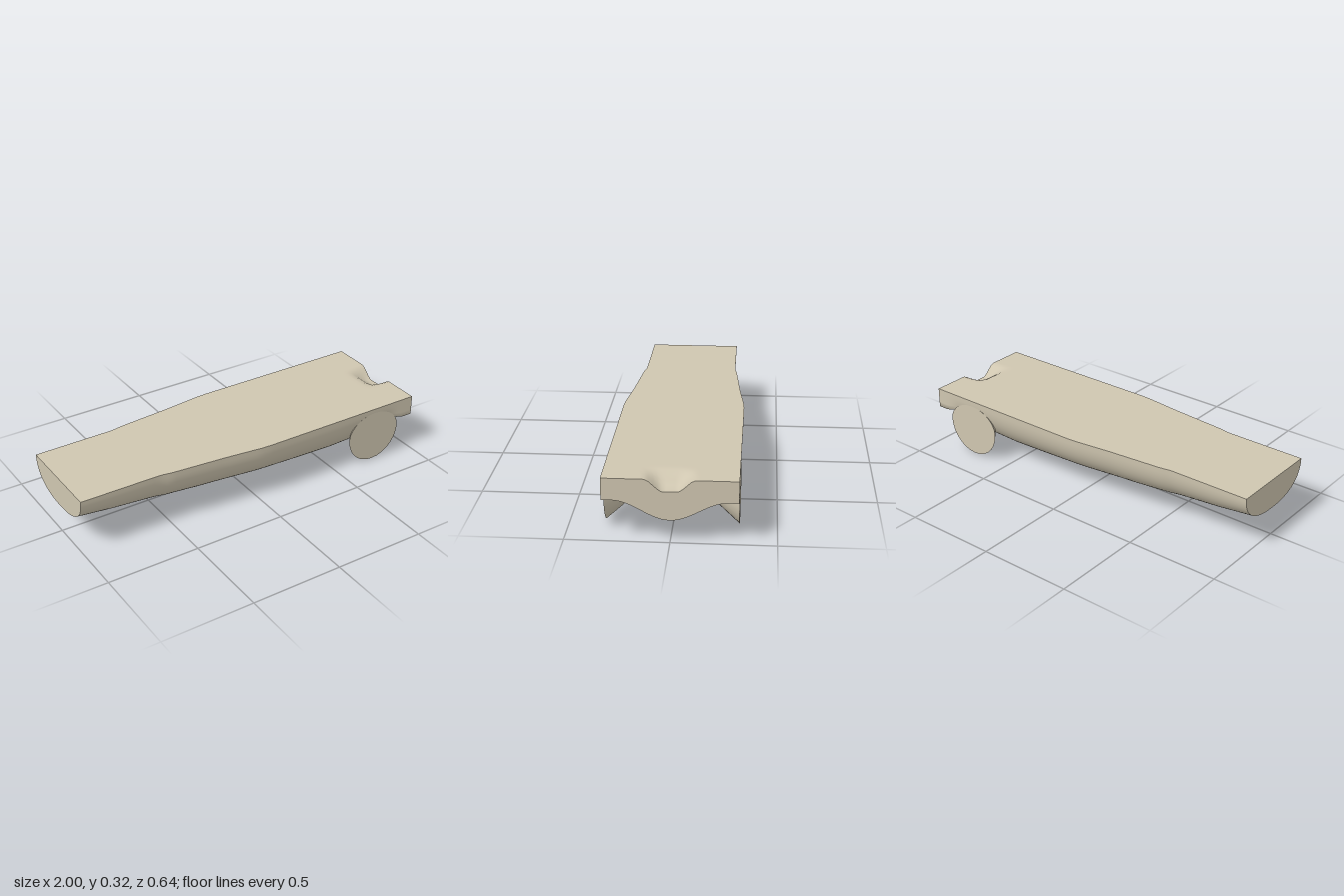
import * as THREE from 'three';

const TOP = 0.32;
const clamp = THREE.MathUtils.clamp;
const step = THREE.MathUtils.smoothstep;

// Straight-line lookup in a short list of [x, value] pairs
function along(points, x) {
  for (let i = 1; i < points.length; i++) {
    const [x0, a] = points[i - 1], [x1, b] = points[i];
    if (x <= x1) return a + (b - a) * (x - x0) / (x1 - x0);
  }
  return points[points.length - 1][1];
}
const keel = [[-1, 0.155], [-0.8, 0.125], [-0.5, 0.095], [-0.3, 0.082], [0, 0.072],
  [0.3, 0.058], [0.5, 0.051], [0.65, 0.058], [0.85, 0.085], [1, 0.115]];
const halfWidth = [[-1, 0.252], [-0.56, 0.255], [-0.5, 0.266], [-0.2, 0.293], [0, 0.317], [0.06, 0.32], [1, 0.32]];

// Point on the hull section at x; t runs from -1 (back rim) to 1 (front rim)
function hullPoint(x, t) {
  const w = along(halfWidth, x), d = TOP - along(keel, x), a = t * Math.PI / 2, p = 2 / 2.35;
  const round = [w * Math.sign(t) * Math.abs(Math.sin(a)) ** p, TOP - d * Math.max(0, Math.cos(a)) ** p];
  // Stern section: straight sides, shoulders and a narrow bell-shaped keel
  const s = Math.abs(t), out = Math.min(1, s / 0.8), z = w * out;
  const bell = 0.21 - (d - 0.11) * (0.5 + 0.5 * Math.cos(Math.PI * Math.min(1, z / 0.27)));
  const y = s > 0.8 ? 0.21 + 0.11 * (s - 0.8) / 0.2 : bell;
  const k = step(x, 0.82, 0.95);
  return [x, round[1] + (y - round[1]) * k, round[0] + (Math.sign(t) * z - round[0]) * k];
}

// Point of the flat deck above a hull point, with a scoop at the stern
function deckPoint(x, t) {
  const z = hullPoint(x, t)[2];
  const scoop = 0.06 * step(x, 0.86, 0.98) * clamp((0.11 - Math.abs(z)) / 0.065, 0, 1);
  return [x, TOP - scoop, z];
}

// Surface grid from a rule f(u, v) with u and v in 0..1
function grid(nu, nv, f, flip = false) {
  const pos = [], index = [];
  for (let i = 0; i <= nu; i++) for (let j = 0; j <= nv; j++) pos.push(...f(i / nu, j / nv));
  for (let i = 0; i < nu; i++) for (let j = 0; j < nv; j++) {
    const a = i * (nv + 1) + j, b = a + nv + 1;
    if (flip) index.push(a, a + 1, b, b, a + 1, b + 1);
    else index.push(a, b, a + 1, b, b + 1, a + 1);
  }
  const g = new THREE.BufferGeometry();
  g.setAttribute('position', new THREE.Float32BufferAttribute(pos, 3));
  g.setIndex(index);
  g.computeVertexNormals();
  return g;
}

export function createModel() {
  const model = new THREE.Group();
  const stone = new THREE.MeshStandardMaterial({ color: 0xcfc6b0, side: THREE.DoubleSide });
  stone.name = 'warm stone';
  const add = (name, geometry) => {
    const mesh = new THREE.Mesh(geometry, stone);
    mesh.name = name;
    model.add(mesh);
    return mesh;
  };

  // Rounded underside and flat top
  add('hull', grid(80, 40, (u, v) => hullPoint(2 * u - 1, 2 * v - 1)));
  add('deck', grid(80, 40, (u, v) => deckPoint(2 * u - 1, 2 * v - 1), true));

  // End walls spanning from keel line to deck
  for (const x of [-1, 1]) {
    add(x > 0 ? 'sternWall' : 'bowWall', grid(40, 4, (u, v) => {
      const a = hullPoint(x, 2 * u - 1), b = deckPoint(x, 2 * u - 1);
      return [x, a[1] + (b[1] - a[1]) * v, a[2]];
    }, x > 0));
  }

  // Rounded side fins: discs flush with the sides, tapering inward to the hull
  for (const side of [-1, 1]) {
    const fin = new THREE.CylinderGeometry(0.165, 0.06, 0.12, 28, 1);
    fin.rotateX(Math.PI / 2);
    const p = fin.attributes.position;
    for (let i = 0; i < p.count; i++) if (p.getY(i) > 0) p.setY(i, p.getY(i) * 0.75);
    if (side < 0) fin.rotateY(Math.PI);
    fin.computeVertexNormals();
    const mesh = add(side > 0 ? 'frontFin' : 'backFin', fin);
    mesh.position.set(0.74, side > 0 ? 0.172 : 0.165, side * 0.26);
  }
  return model;
}
